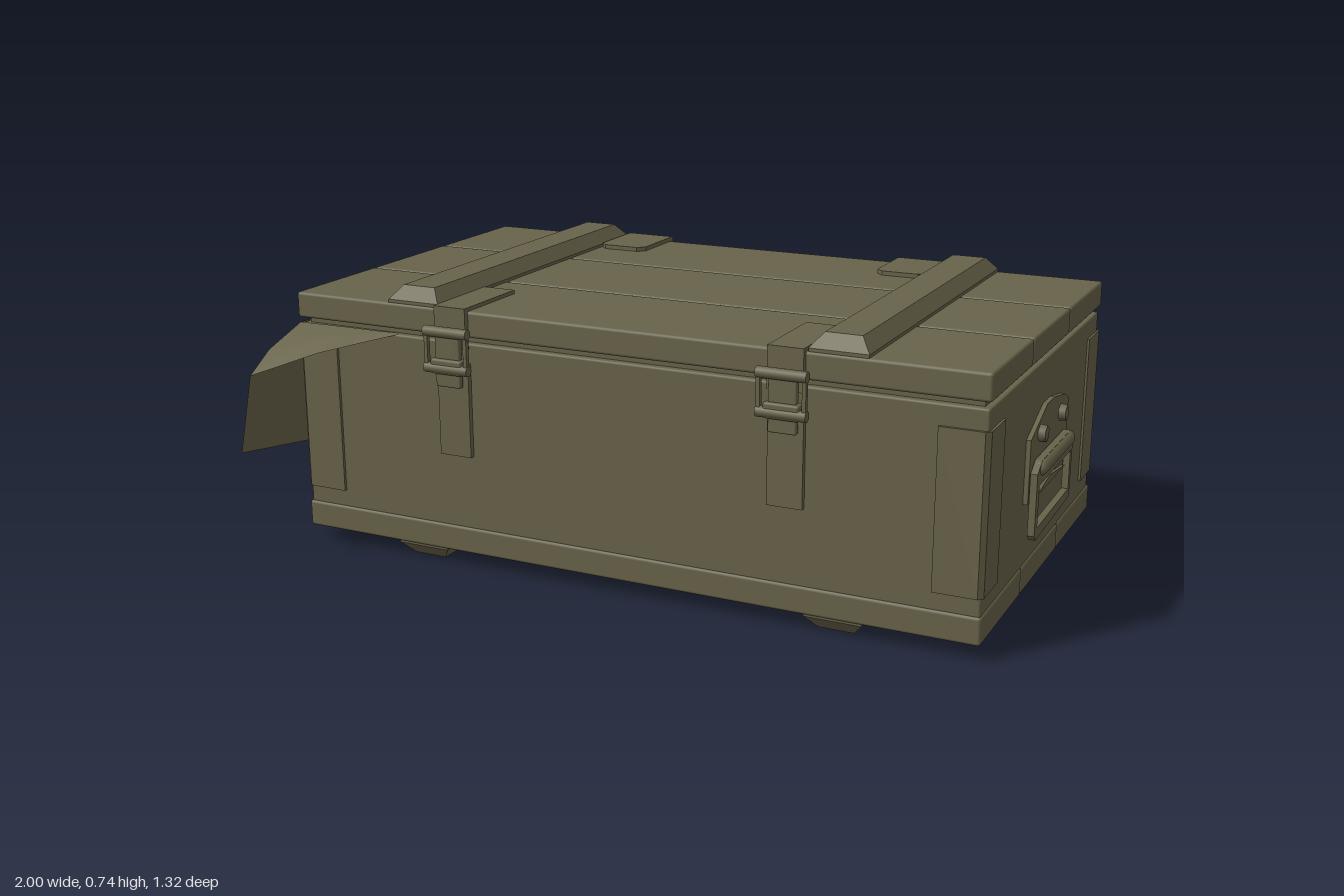
import * as THREE from 'three';
import { RoundedBoxGeometry } from 'three/addons/geometries/RoundedBoxGeometry.js';

const olive = new THREE.MeshStandardMaterial({ color: 0x68634a, side: THREE.DoubleSide });
olive.name = 'olivePaint';

const CX = 0.007, CZ = -0.1; // centre of the crate body

export function createModel() {
  const root = new THREE.Group();
  root.name = 'crate';

  const add = (name, geo, parent = root) => {
    const mesh = new THREE.Mesh(geo, olive);
    mesh.name = name;
    parent.add(mesh);
    return mesh;
  };
  // box given by its limits; r > 0 bevels the edges
  const box = (name, x0, x1, y0, y1, z0, z1, r = 0, parent = root) => {
    const s = [x1 - x0, y1 - y0, z1 - z0];
    const geo = r ? new RoundedBoxGeometry(...s, 2, r) : new THREE.BoxGeometry(...s);
    geo.translate((x0 + x1) / 2, (y0 + y1) / 2, (z0 + z1) / 2);
    return add(name, geo, parent);
  };

  // body and the recessed core that fills the lid seams
  box('body', -0.938, 0.952, 0.1, 0.612, -0.622, 0.424, 0.006);
  box('core', -0.92, 0.935, 0.055, 0.685, -0.605, 0.405);

  // three planks each for lid and base
  const cuts = [-0.63, -0.277, 0.077, 0.43];
  for (let i = 0; i < 3; i++) {
    const z0 = cuts[i] + (i ? 0.003 : 0), z1 = cuts[i + 1] - (i < 2 ? 0.003 : 0);
    box('lidPlank', -0.943, 0.957, 0.628, 0.697, z0, z1, 0.008);
    box('basePlank', -0.943, 0.957, 0.04, 0.112, z0, z1, 0.008);
  }

  // battens with sloping edges: a lower block and a tapered cap
  const batten = (name, x, y, dir) => {
    const w = 0.15, l = 1.05, t = 0.035;
    const g = new THREE.Group();
    g.name = name;
    box('battenBase', -w / 2, w / 2, -0.03, 0.008, -l / 2, l / 2, 0, g);
    const cap = new THREE.BoxGeometry(w, t, l).toNonIndexed();
    const p = cap.attributes.position;
    for (let i = 0; i < p.count; i++) {
      if (p.getY(i) > 0) {
        p.setX(i, p.getX(i) * 0.62);
        p.setZ(i, p.getZ(i) * 0.94);
      }
    }
    cap.translate(0, 0.008 + t / 2, 0);
    cap.computeVertexNormals();
    add('battenCap', cap, g);
    g.position.set(x, y, CZ);
    if (dir < 0) g.rotation.x = Math.PI;
    root.add(g);
  };
  for (const x of [-0.577, 0.59]) {
    batten('topBatten', x, 0.697, 1);
    batten('bottomBatten', x, 0.043, -1);
  }

  // corner guards wrapped around the four upright edges
  for (const sx of [-1, 1]) for (const sz of [-1, 1]) {
    const hx = 0.951, hz = 0.532, w = 0.123, t = 0.012;
    const s = new THREE.Shape([
      [hx - w, hz], [hx - 0.012, hz], [hx, hz - 0.012], [hx, hz - w],
      [hx - t, hz - w], [hx - t, hz - t], [hx - w, hz - t],
    ].map(([a, b]) => new THREE.Vector2(a * sx, b * sz)));
    const geo = new THREE.ExtrudeGeometry(s, { depth: 0.403, bevelEnabled: false });
    geo.rotateX(Math.PI / 2);
    geo.translate(CX, 0.56, CZ);
    add('cornerGuard', geo);
  }

  // front latches
  for (const x of [-0.455, 0.466]) {
    const g = new THREE.Group();
    g.name = 'frontLatch';
    g.position.x = x;
    root.add(g);
    const w = 0.046;
    box('lidStrap', -w, w, 0.697, 0.707, 0.2, 0.445, 0, g);
    box('strapDrop', -w, w, 0.6, 0.707, 0.43, 0.445, 0, g);
    box('lowerStrap', -w, w, 0.31, 0.56, 0.424, 0.438, 0, g);
    box('leverPlate', -0.036, 0.036, 0.5, 0.64, 0.445, 0.462, 0.004, g);
    box('buckle', -w, w, 0.535, 0.575, 0.436, 0.472, 0.006, g);
    for (const y of [0.55, 0.645]) {
      const pin = new THREE.CylinderGeometry(0.014, 0.014, 0.128, 10);
      pin.rotateZ(Math.PI / 2);
      pin.translate(0, y, 0.463);
      add('latchPin', pin, g);
    }
    for (const s of [-1, 1]) {
      box('latchLink', s * 0.058 - 0.005, s * 0.058 + 0.005, 0.54, 0.655, 0.458, 0.47, 0, g);
    }
  }

  // back hinges
  for (const x of [-0.427, 0.44]) {
    const g = new THREE.Group();
    g.name = 'backHinge';
    g.position.x = x;
    root.add(g);
    const s = new THREE.Shape();
    s.moveTo(-0.072, -0.638).lineTo(0.072, -0.638).lineTo(0.072, -0.46);
    s.lineTo(0.052, -0.44).lineTo(-0.052, -0.44).lineTo(-0.072, -0.46);
    const leaf = new THREE.ExtrudeGeometry(s, { depth: 0.012, bevelEnabled: false });
    leaf.rotateX(Math.PI / 2);
    leaf.translate(0, 0.709, 0);
    add('hingeLeaf', leaf, g);
    box('hingeDrop', -0.072, 0.072, 0.61, 0.708, -0.642, -0.63, 0, g);
    box('hingeStrap', -0.055, 0.055, 0.31, 0.62, -0.634, -0.62, 0, g);
    const pin = new THREE.CylinderGeometry(0.017, 0.017, 0.144, 10);
    pin.rotateZ(Math.PI / 2);
    pin.translate(0, 0.62, -0.645);
    add('hingePin', pin, g);
  }

  // carrying handles: drawn flat with horizontal z, then turned to face sideways
  const flat = (pts, depth, hole) => {
    const shape = new THREE.Shape(pts.map(p => new THREE.Vector2(...p)));
    if (hole) shape.holes.push(new THREE.Path(hole.map(p => new THREE.Vector2(...p))));
    return new THREE.ExtrudeGeometry(shape, { depth, bevelEnabled: false });
  };
  for (const side of [1, -1]) {
    const g = new THREE.Group();
    g.name = side > 0 ? 'leftHandle' : 'rightHandle';
    add('handlePlate', flat([[-0.183, 0.28], [0.183, 0.28], [0.183, 0.46], [0.14, 0.48],
      [0.03, 0.5], [-0.04, 0.5], [-0.13, 0.465], [-0.183, 0.445]], 0.012), g);
    const frame = add('handleFrame', flat(
      [[-0.18, 0.2], [-0.165, 0.185], [0.17, 0.195], [0.176, 0.36], [0.14, 0.385], [-0.14, 0.385], [-0.18, 0.36]], 0.018,
      [[-0.155, 0.215], [-0.155, 0.325], [0.155, 0.325], [0.155, 0.22]]), g);
    frame.position.z = 0.014;
    const grip = new THREE.CapsuleGeometry(0.021, 0.27, 4, 10);
    grip.rotateZ(Math.PI / 2);
    grip.translate(0, 0.365, 0.026);
    add('handleGrip', grip, g);
    add('stopRib', flat([[-0.15, 0.285], [0.15, 0.285], [0, 0.305]], 0.02), g);
    for (const u of [-0.1, 0.1]) {
      const bolt = new THREE.CylinderGeometry(0.021, 0.023, 0.02, 6);
      bolt.rotateX(Math.PI / 2);
      bolt.translate(u, 0.442, 0.02);
      add('handleBolt', bolt, g);
    }
    g.position.set(side > 0 ? 0.952 : -0.938, 0, CZ + 0.005);
    g.rotation.y = side * Math.PI / 2;
    root.add(g);
  }

  // sheet through rows of points, one row per fold
  const sheet = (name, cols) => {
    const n = cols[0].length, idx = [];
    for (let i = 0; i + 1 < cols.length; i++) for (let j = 0; j + 1 < n; j++) {
      const a = i * n + j, b = a + n;
      idx.push(a, a + 1, b, b, a + 1, b + 1);
    }
    const geo = new THREE.BufferGeometry();
    geo.setAttribute('position', new THREE.Float32BufferAttribute(cols.flat(2), 3));
    geo.setIndex(idx);
    geo.computeVertexNormals();
    add(name, geo);
  };
  // cloth caught under the lid, hanging over the end and out past the front corner
  const corner = [[-0.935, 0.616, 0.43], [-0.953, 0.565, 0.545], [-0.96, 0.51, 0.62], [-0.972, 0.31, 0.66]];
  sheet('clothSide', [
    [[-0.93, 0.616, -0.43], [-0.955, 0.585, -0.425], [-0.972, 0.45, -0.4], [-1.0, 0.18, -0.34]],
    [[-0.93, 0.616, -0.2], [-0.965, 0.59, -0.19], [-0.985, 0.45, -0.15], [-0.994, 0.2, -0.08]],
    [[-0.93, 0.616, 0.1], [-0.965, 0.59, 0.12], [-0.983, 0.45, 0.15], [-0.988, 0.235, 0.2]],
    [[-0.93, 0.616, 0.3], [-0.96, 0.585, 0.35], [-0.972, 0.47, 0.4], [-0.98, 0.275, 0.45]],
    corner,
  ]);
  sheet('clothFrontFlap', [
    corner.slice(0, 3),
    [[-0.8, 0.616, 0.425], [-0.8, 0.597, 0.48], [-0.8, 0.57, 0.535]],
    [[-0.7, 0.616, 0.425], [-0.7, 0.608, 0.445], [-0.7, 0.595, 0.468]],
    [[-0.63, 0.616, 0.42], [-0.63, 0.614, 0.422], [-0.63, 0.612, 0.425]],
  ]);

  return root;
}
